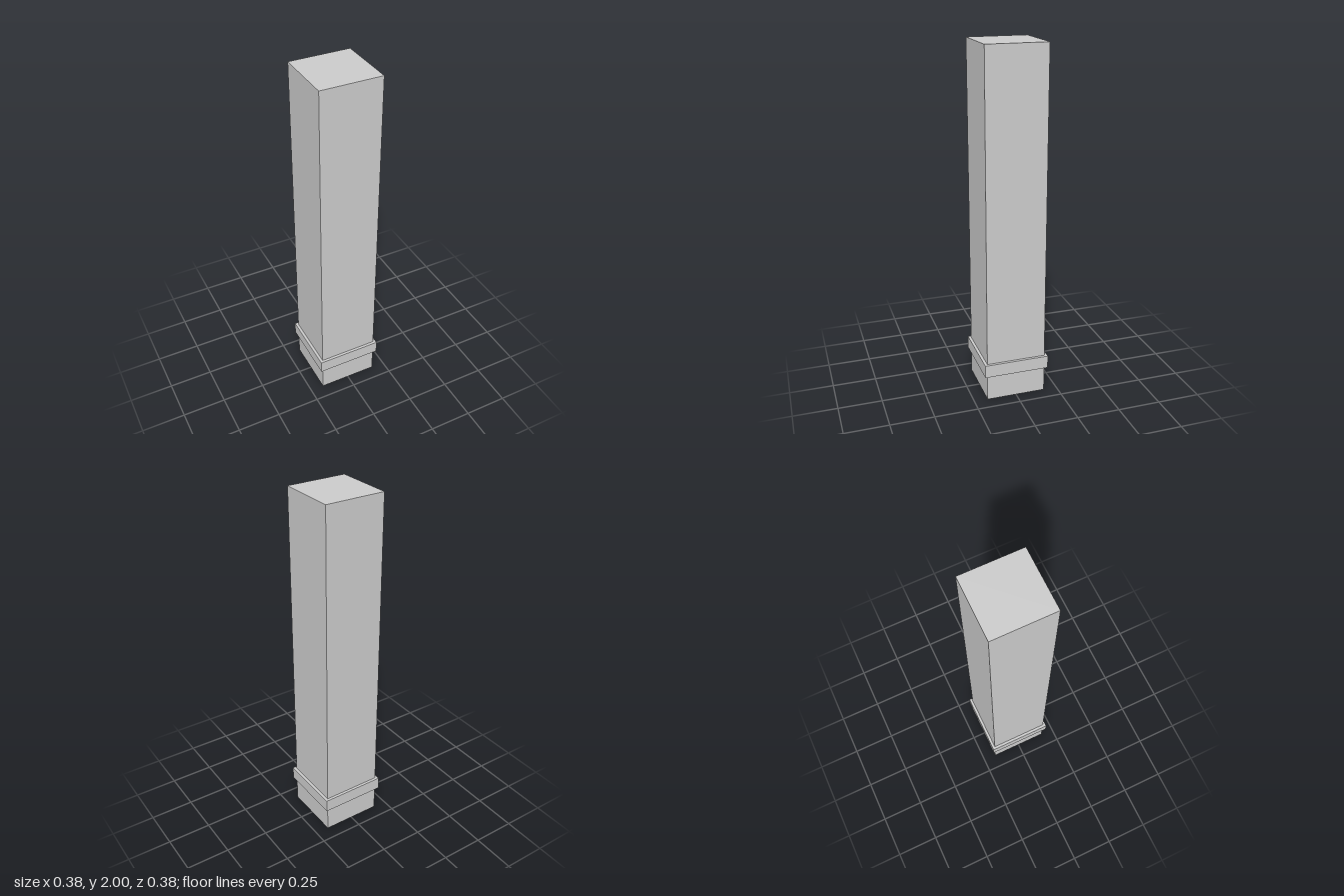
import * as THREE from 'three';

export function createModel() {
  const group = new THREE.Group();
  const material = new THREE.MeshStandardMaterial({ color: 0xcccccc });

  // Square block spanning bottom to top
  function addBlock(name, width, bottom, top) {
    const mesh = new THREE.Mesh(new THREE.BoxGeometry(width, top - bottom, width), material);
    mesh.name = name;
    mesh.position.y = (bottom + top) / 2;
    group.add(mesh);
  }

  addBlock('shaft', 0.343, 0, 2);
  // Raised collar around the foot of the post
  addBlock('collar', 0.375, 0.152, 0.227);

  return group;
}
